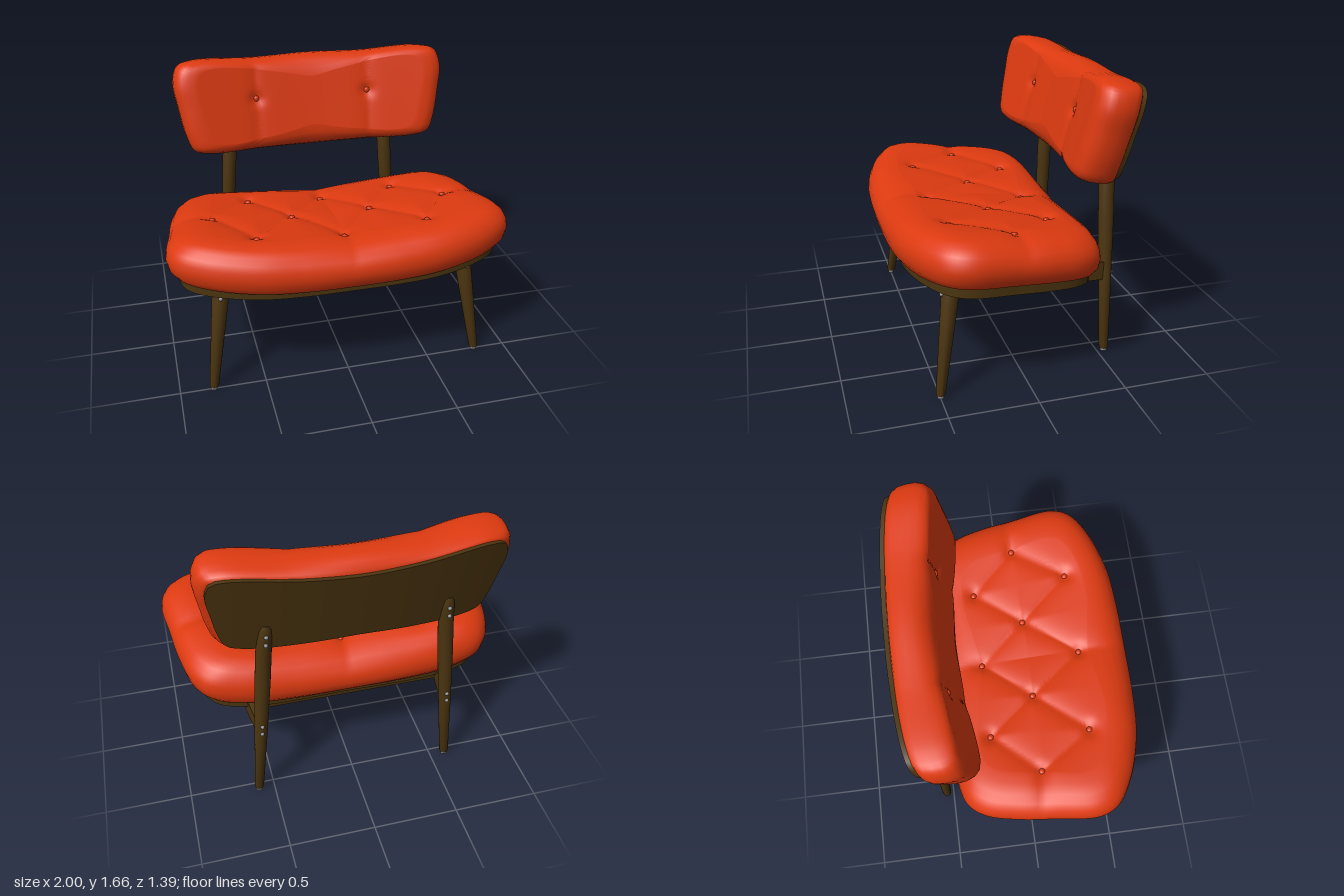
import * as THREE from 'three';
import { toCreasedNormals } from 'three/addons/utils/BufferGeometryUtils.js';

const mat = (name, color) => {
  const m = new THREE.MeshStandardMaterial({ color });
  m.name = name;
  return m;
};

// Closed outline from the +x half: the first and last points lie on x = 0
function outline(half, count) {
  const mirrored = half.slice(1, -1).reverse().map(([x, b]) => [-x, b]);
  const pts = [...half, ...mirrored].map(([x, b]) => new THREE.Vector3(x, b, 0));
  return new THREE.CatmullRomCurve3(pts, true, 'centripetal').getSpacedPoints(count).slice(0, count);
}

// Closed padded form: rim rings are [inset, height], place() maps (x, b, h) to space
function pad(loop, centre, rim, capRings, place) {
  const rings = [];
  for (let k = 0; k < 12; k++) rings.push([rim[0][0], rim[0][1], k / 12]);
  rim.forEach(([inset, h]) => rings.push([inset, h, 1]));
  const [lastInset, lastH] = rim[rim.length - 1];
  for (let k = capRings - 1; k >= 0; k--) rings.push([lastInset, lastH, k / capRings]);
  const n = loop.length, pos = [], index = [];
  rings.forEach(([inset, h, s], j) => {
    loop.forEach((p, i) => {
      const dx = p.x, db = p.y - centre;
      const f = (1 - inset / Math.hypot(dx, db)) * s;
      pos.push(...place(dx * f, centre + db * f, h));
      if (j === 0) return;
      const i2 = (i + 1) % n, lo = (j - 1) * n, hi = j * n;
      if (j > 1) index.push(lo + i, lo + i2, hi + i2);
      else index.push(lo + i, hi + i2, hi + i);
      if (j > 1 && j < rings.length - 1) index.push(lo + i, hi + i2, hi + i);
    });
  });
  const g = new THREE.BufferGeometry();
  g.setAttribute('position', new THREE.Float32BufferAttribute(pos, 3));
  g.setIndex(index);
  g.computeVertexNormals();
  return g;
}

function segmentDistance(x, b, [x1, b1, x2, b2]) {
  const dx = x2 - x1, db = b2 - b1;
  const t = THREE.MathUtils.clamp(((x - x1) * dx + (b - b1) * db) / (dx * dx + db * db), 0, 1);
  return Math.hypot(x - x1 - t * dx, b - b1 - t * db);
}

// Depth of the folds and button pits, mirrored in x
function tuft(x, b, folds, buttons, depth) {
  const ax = Math.abs(x);
  const d = Math.min(...folds.map(s => segmentDistance(ax, b, s)));
  const p = Math.min(...buttons.map(([u, v]) => Math.hypot(ax - u, b - v)));
  return depth * Math.exp(-d / 0.06) + 0.018 * Math.exp(-((p / 0.04) ** 2));
}

// Seat layout in (x, z)
const seatHalf = [[0, 0.685], [0.3, 0.68], [0.55, 0.655], [0.8, 0.575], [0.95, 0.475], [1, 0.36],
  [0.975, 0.1], [0.95, -0.1], [0.9, -0.29], [0.82, -0.39], [0.65, -0.44], [0.3, -0.46], [0, -0.46]];
const seatButtons = [[0, -0.21], [0.46, -0.21], [0.24, 0.07], [0.71, 0.06], [0, 0.385], [0.5, 0.37]];
const seatFolds = [[0, -0.21, 0.24, 0.07], [0.46, -0.21, 0.24, 0.07], [0.46, -0.21, 0.71, 0.06],
  [0, 0.385, 0.24, 0.07], [0.5, 0.37, 0.24, 0.07], [0.5, 0.37, 0.71, 0.06], [0.71, 0.06, 0.98, 0.04]];
const seatBase = (x, z) => 0.59 + 0.075 * x * x + 0.09 * z;
const placeSeat = (x, z, h) => [x, seatBase(x, z) + 0.268 * h
  - h * h * (tuft(x, z, seatFolds, seatButtons, 0.022) + 0.018 * Math.exp(-Math.abs(x) / 0.12)), z];
const placeSeatBoard = (x, z, h) => [x, seatBase(x, z) + 0.012 * h - (1 - h) * (0.028 + 0.025 * x * x), z];

// Backrest layout in (x, y)
const backHalf = [[0, 1.085], [0.35, 1.09], [0.65, 1.1], [0.75, 1.13], [0.79, 1.22], [0.825, 1.4],
  [0.842, 1.54], [0.81, 1.63], [0.72, 1.655], [0.35, 1.635], [0, 1.64]];
const backButtons = [[0.35, 1.395]];
const backFolds = [[0.35, 1.0, 0.35, 1.7]];
const backBase = (x, v) => -0.57 + 0.13 * x * x - 0.25 * (v - 1.15);
const placeBack = (x, v, h) => [x, v + (h - 0.5) * 0.05,
  backBase(x, v) + 0.24 * h - h * h * tuft(x, v, backFolds, backButtons, 0.016)];
const placeBackBoard = (x, v, h) => [x, v - 0.025, backBase(x, v) - 0.022 + 0.035 * h];

export function createModel() {
  const fabric = mat('orangeFabric', 0xdd3a10);
  const wood = mat('darkWood', 0x4c3510);
  const metal = mat('metal', 0x8c8c90);
  const lining = mat('greyLining', 0x58585a);
  const model = new THREE.Group();
  const add = (name, geometry, material, x = 0, y = 0, z = 0) => {
    const m = new THREE.Mesh(geometry, material);
    m.name = name;
    m.position.set(x, y, z);
    model.add(m);
    return m;
  };

  // Cushions
  const seatLoop = outline(seatHalf, 200), backLoop = outline(backHalf, 200);
  add('seatCushion', pad(seatLoop, 0.1, [[0.09, 0], [0.045, 0.04], [0.012, 0.18], [0, 0.38], [0.008, 0.55],
    [0.03, 0.7], [0.07, 0.84], [0.12, 0.93], [0.18, 0.98], [0.24, 1]], 44, placeSeat), fabric);
  add('backCushion', pad(backLoop, 1.37, [[0.06, 0], [0.025, 0.06], [0.005, 0.2], [0, 0.4], [0.003, 0.6],
    [0.018, 0.77], [0.045, 0.9], [0.085, 0.97], [0.13, 1]], 36, placeBack), fabric);

  // Wooden boards under the seat and behind the back
  const plank = [[0, 0], [0, 1]];
  const board = (loop, centre, inset, place) => toCreasedNormals(
    pad(loop, centre, plank.map(([i, h]) => [i + inset, h]), 12, place).toNonIndexed(), 0.7);
  add('seatBoard', board(outline(seatHalf, 96), 0.1, 0.07, placeSeatBoard), wood);
  add('backBoard', board(outline(backHalf, 96), 1.37, 0.05, placeBackBoard), wood);
  add('seatLining', new THREE.BoxGeometry(0.62, 0.008, 0.38), lining, 0, 0.557, -0.02).rotation.x = -0.09;

  // Upholstery buttons
  const buttonGeo = new THREE.SphereGeometry(0.018, 16, 10);
  const addButtons = (name, list, place, axis) => list.forEach(([u, v]) => {
    for (const s of u ? [1, -1] : [1]) {
      const b = add(name, buttonGeo, fabric, ...place(s * u, v, 1));
      b.scale[axis] = 0.65;
      b.position[axis] += 0.005;
    }
  });
  addButtons('seatButton', seatButtons, placeSeat, 'y');
  addButtons('backButton', backButtons, placeBack, 'z');

  // Turned leg, leaned by a rule on its height
  const leg = (profile, lean) => {
    const g = new THREE.LatheGeometry(profile.map(([r, y]) => new THREE.Vector2(r, y)), 24);
    const p = g.attributes.position;
    for (let i = 0; i < p.count; i++) {
      const [dx, dz] = lean(p.getY(i));
      p.setXYZ(i, p.getX(i) + dx, p.getY(i), p.getZ(i) + dz);
    }
    g.computeVertexNormals();
    return toCreasedNormals(g, 0.8);
  };
  const frontProfile = [[0, 0.015], [0.022, 0.015], [0.027, 0.025], [0.048, 0.55], [0.048, 0.655], [0, 0.655]];
  const backProfile = [[0, 0.015], [0.022, 0.015], [0.027, 0.025], [0.038, 0.5], [0.044, 0.85], [0.044, 1.06],
    [0.04, 1.16], [0.034, 1.24], [0.024, 1.265], [0, 1.275]];
  const screwGeo = new THREE.SphereGeometry(0.012, 12, 8);
  const footGeo = new THREE.CylinderGeometry(0.019, 0.019, 0.018, 16);

  for (const s of [1, -1]) {
    add('frontLeg', leg(frontProfile, y => [s * (0.807 - 0.142 * y), 0.5 - 0.146 * y]), wood);
    add('backLeg', leg(backProfile, y => [s * (0.593 - 0.075 * y), -0.543 - 0.16 * Math.max(0, y - 1.06)]), wood);
    add('frontFoot', footGeo, metal, s * 0.806, 0.009, 0.498);
    add('backFoot', footGeo, metal, s * 0.592, 0.009, -0.543);

    // Side rail, sloping down and inward to the back
    const from = new THREE.Vector3(s * 0.695, 0.597, 0.39), to = new THREE.Vector3(s * 0.558, 0.515, -0.53);
    const rail = add('sideRail', new THREE.BoxGeometry(0.05, 0.108, from.distanceTo(to)), wood);
    rail.position.copy(from).lerp(to, 0.5);
    rail.lookAt(from);

    // Screw heads
    const screws = [[0.706, 0.612, 0.28], [0.706, 0.56, 0.28], [0.613, 0.56, -0.34], [0.613, 0.508, -0.34],
      [0.724, 0.63, 0.454], [0.73, 0.58, 0.463], [0.552, 0.545, -0.582], [0.556, 0.49, -0.581],
      [0.503, 1.2, -0.603], [0.507, 1.145, -0.6]];
    screws.forEach(([x, y, z]) => add('screw', screwGeo, metal, s * x, y, z));
  }

  // Cross rails between the side rails
  add('frontCrossRail', new THREE.BoxGeometry(1.34, 0.085, 0.05), wood, 0, 0.58, 0.28).rotation.x = -0.09;
  add('backCrossRail', new THREE.BoxGeometry(1.15, 0.085, 0.05), wood, 0, 0.522, -0.34).rotation.x = -0.09;
  return model;
}
